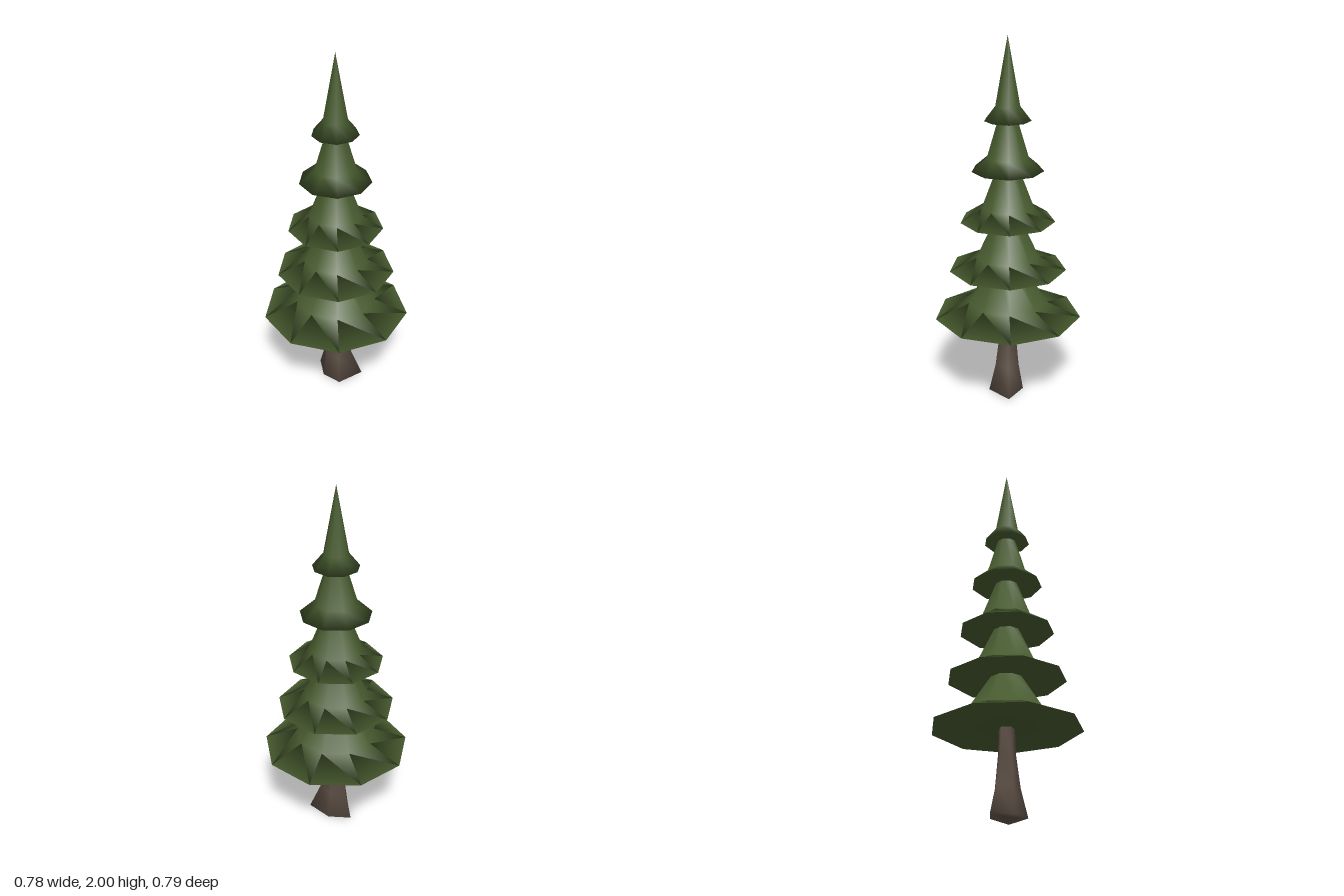
import * as THREE from 'three';
import { mergeVertices } from 'three/addons/utils/BufferGeometryUtils.js';

const AXIS_X = -0.013;

// One skirt of needles: flat underside, flared brim, steep upper cone.
function makeTier([y, brim, kneeY, knee, topY, top], material) {
  const profile = [[0, y], [brim, y], [knee, kneeY], [top, topY]]
    .map(([r, h]) => new THREE.Vector2(r, h));
  return new THREE.Mesh(new THREE.LatheGeometry(profile, 9, Math.PI / 2), material);
}

// Five-sided trunk whose roots flare out unevenly towards the ground.
function makeTrunk(material) {
  const rows = [[0, 0], [0.045, 0], [0.045, 0.15], [0.045, 0.32], [0.042, 0.52]];
  const spread = [0, 1, 0.42, 0.07, 0];
  const roots = [0.108, 0.045, 0.08, 0.035, 0.066];
  let geometry = new THREE.LatheGeometry(rows.map(([r, y]) => new THREE.Vector2(r, y)), 5, Math.PI / 2);
  const pos = geometry.attributes.position;
  for (let i = 0; i < pos.count; i++) {
    const row = i % rows.length;
    if (row === 0) continue;
    const side = Math.floor(i / rows.length) % 5;
    const r = rows[row][0] + roots[side] * spread[row];
    const angle = Math.PI / 2 + side * Math.PI * 2 / 5;
    pos.setXYZ(i, r * Math.sin(angle), rows[row][1], r * Math.cos(angle));
  }
  // Weld the seam so the bark shades smoothly all the way round.
  geometry.deleteAttribute('uv');
  geometry.deleteAttribute('normal');
  geometry = mergeVertices(geometry);
  geometry.computeVertexNormals();
  return new THREE.Mesh(geometry, material);
}

export function createModel() {
  const needles = new THREE.MeshStandardMaterial({ name: 'needle green', color: 0x465a2e });
  const bark = new THREE.MeshStandardMaterial({ name: 'bark brown', color: 0x5a4d43 });
  const tree = new THREE.Group();
  tree.name = 'pineTree';

  const trunk = makeTrunk(bark);
  trunk.name = 'trunk';
  trunk.position.x = AXIS_X;
  tree.add(trunk);

  // Bottom height, brim radius, knee height, knee radius, top height, top radius
  const tiers = [
    [0.46, 0.403, 0.54, 0.218, 0.76, 0.075],
    [0.735, 0.32, 0.805, 0.172, 1.04, 0.06],
    [1.01, 0.257, 1.085, 0.143, 1.32, 0.052],
    [1.29, 0.194, 1.36, 0.113, 1.59, 0.044],
    [1.56, 0.125, 1.635, 0.066, 2, 0],
  ];
  tiers.forEach((tier, i) => {
    const mesh = makeTier(tier, needles);
    mesh.name = `branchTier${i + 1}`;
    mesh.position.x = AXIS_X;
    tree.add(mesh);
  });
  return tree;
}
